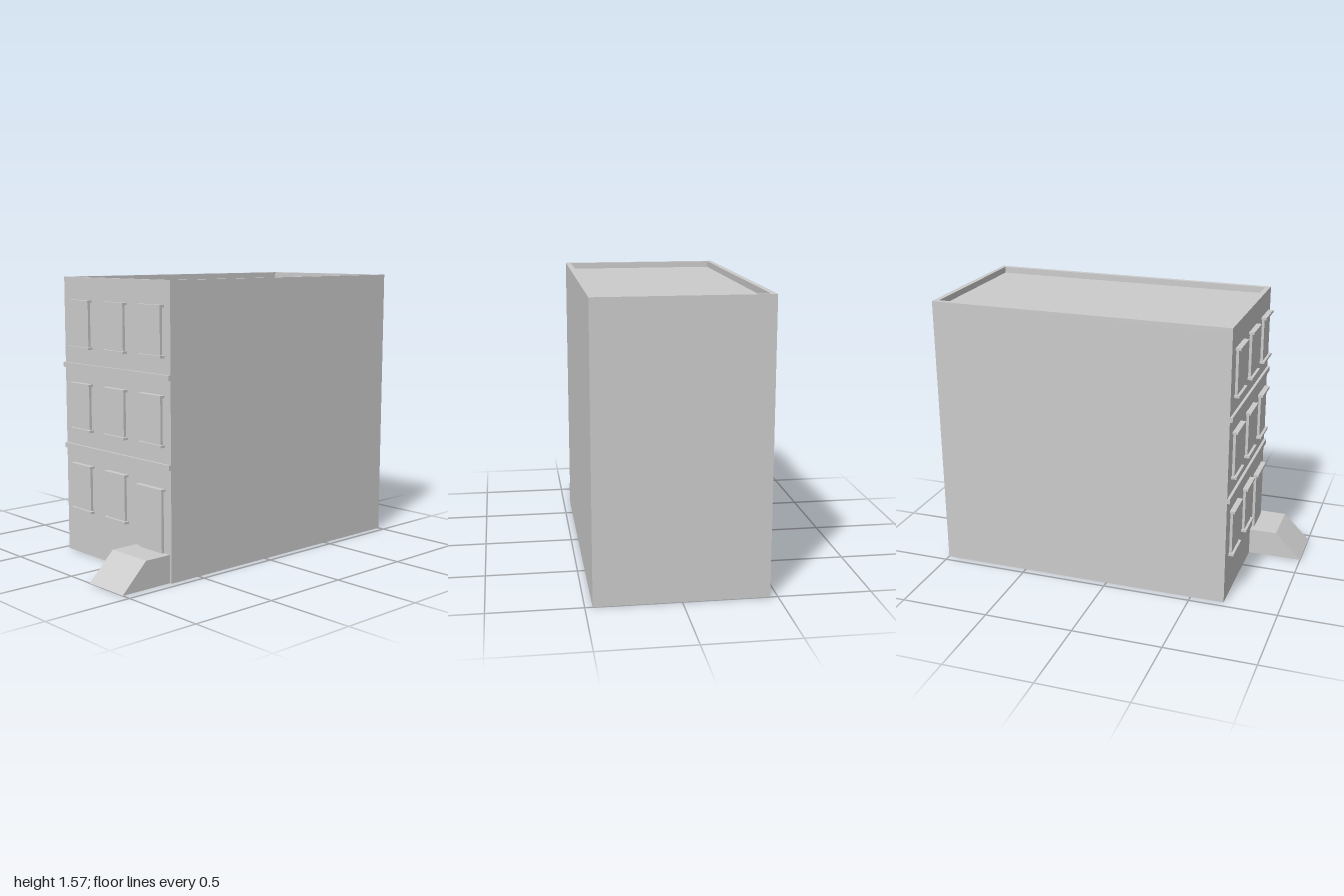
import * as THREE from 'three';

const FRONT = 0.69; // z of the street facade

export function createModel() {
  const model = new THREE.Group();
  const mat = new THREE.MeshStandardMaterial({ color: 0xcccccc, flatShading: true });

  const add = (geometry, name, parent = model) => {
    const mesh = new THREE.Mesh(geometry, mat);
    mesh.name = name;
    parent.add(mesh);
    return mesh;
  };
  // Box given by its minimum and maximum on each axis
  const box = (name, x0, x1, y0, y1, z0, z1, parent) => {
    const mesh = add(new THREE.BoxGeometry(x1 - x0, y1 - y0, z1 - z0), name, parent);
    mesh.position.set((x0 + x1) / 2, (y0 + y1) / 2, (z0 + z1) / 2);
    return mesh;
  };
  // Trim fixed to the facade, standing out by depth
  const trim = (name, x, width, y0, y1, depth, parent) =>
    box(name, x - width / 2, x + width / 2, y0, y1, FRONT, FRONT + depth, parent);

  // Main block up to the sunken roof
  const height = 1.57, roof = 1.535;
  box('building', -0.46, 0.46, 0, roof, -1, FRONT);

  // Parapet: a rectangular ring around the roof
  const rectangle = (path, x, z0, z1) =>
    path.moveTo(-x, -z1).lineTo(x, -z1).lineTo(x, -z0).lineTo(-x, -z0).closePath();
  const ring = rectangle(new THREE.Shape(), 0.46, -1, FRONT);
  ring.holes.push(rectangle(new THREE.Path(), 0.43, -0.972, 0.662));
  const parapet = new THREE.ExtrudeGeometry(ring, { depth: height - roof, bevelEnabled: false });
  parapet.rotateX(-Math.PI / 2);
  add(parapet, 'parapet').position.y = roof;

  // Horizontal bands between the storeys
  for (const y of [0.6, 1.063]) trim('storeyBand', 0, 0.92, y, y + 0.028, 0.015);

  // Windows, with a door in place of the last one on the ground floor
  [0.253, 0.714, 1.175].forEach((y, storey) => {
    [-0.295, 0.013, 0.32].forEach((x, column) => {
      if (storey === 0 && column === 2) return;
      const frame = new THREE.Group();
      frame.name = 'window';
      model.add(frame);
      trim('windowPane', x, 0.15, y + 0.013, y + 0.257, 0.015, frame);
      trim('windowSill', x, 0.184, y, y + 0.013, 0.03, frame);
      trim('windowLintel', x, 0.184, y + 0.257, y + 0.27, 0.03, frame);
    });
  });
  trim('door', 0.307, 0.184, 0.15, 0.482, 0.015);
  trim('doorLintel', 0.307, 0.212, 0.482, 0.495, 0.03);

  // Stoop with a sloping front
  const side = new THREE.Shape();
  side.moveTo(FRONT, 0).lineTo(1, 0).lineTo(0.848, 0.152).lineTo(FRONT, 0.152).closePath();
  const stoop = new THREE.ExtrudeGeometry(side, { depth: 0.28, bevelEnabled: false });
  stoop.rotateY(-Math.PI / 2);
  add(stoop, 'stoop').position.x = 0.446;

  return model;
}
